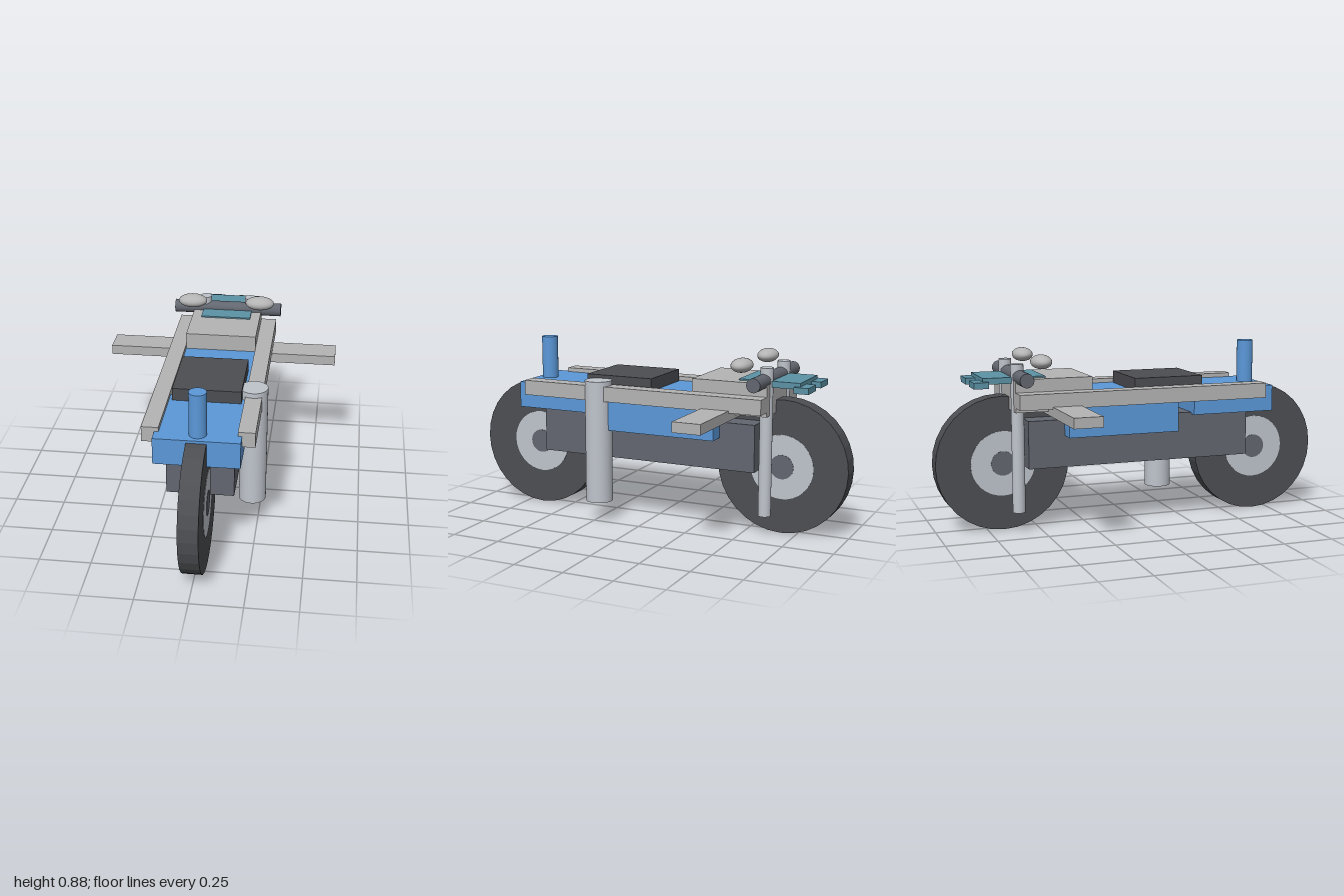
import * as THREE from 'three';

const mat = (color, flatShading = false) => new THREE.MeshStandardMaterial({ color, flatShading });

export function createModel() {
  const model = new THREE.Group();
  model.name = 'motorcycle';

  const grey = mat(0xb4b4b4);
  const metal = mat(0xbfc4cc);
  const blue = mat(0x5b98d8);
  const teal = mat(0x5b92a5);
  const dark = mat(0x4c4d52);
  const engineGrey = mat(0x62666f);
  const rubber = mat(0x4c4e52, true);

  const add = (name, geometry, material, x, y, z) => {
    const mesh = new THREE.Mesh(geometry, material);
    mesh.name = name;
    mesh.position.set(x, y, z);
    model.add(mesh);
    return mesh;
  };

  // Box given by its extents along each axis
  const box = (name, material, [x0, x1], [y0, y1], [z0, z1]) =>
    add(name, new THREE.BoxGeometry(x1 - x0, y1 - y0, z1 - z0), material,
      (x0 + x1) / 2, (y0 + y1) / 2, (z0 + z1) / 2);

  // Upright cylinder between two heights
  const post = (name, material, r, x, z, y0, y1) =>
    add(name, new THREE.CylinderGeometry(r, r, y1 - y0, 32), material, x, (y0 + y1) / 2, z);

  // Cylinder lying across the model
  const crossCylinder = (name, material, r, width, y, z, sides = 32) => {
    add(name, new THREE.CylinderGeometry(r, r, width, sides), material, 0, y, z).rotation.z = Math.PI / 2;
  };

  // Wheels: tyre with slightly proud rim and hub
  for (const [end, z] of [['front', 0.67], ['rear', -0.67]]) {
    crossCylinder(end + 'Tyre', rubber, 0.33, 0.094, 0.33, z);
    crossCylinder(end + 'Rim', metal, 0.16, 0.098, 0.33, z);
    crossCylinder(end + 'Hub', engineGrey, 0.06, 0.102, 0.33, z);
  }

  // Body
  box('engineBlock', engineGrey, [-0.16, 0.16], [0.315, 0.548], [-0.57, 0.575]);
  box('frontBody', blue, [-0.2, 0.2], [0.54, 0.67], [0.27, 0.7]);
  box('middleBody', blue, [-0.24, 0.24], [0.47, 0.67], [-0.39, 0.17]);
  box('tank', grey, [-0.18, 0.18], [0.595, 0.753], [-0.635, -0.255]);
  box('seat', dark, [-0.165, 0.165], [0.665, 0.732], [-0.03, 0.325]);
  box('crossBoard', grey, [-0.59, 0.59], [0.577, 0.627], [-0.475, -0.335]);

  // Upright pieces
  post('frontPost', blue, 0.041, 0, 0.637, 0.66, 0.885);
  post('exhaust', metal, 0.067, 0.218, 0.235, 0.102, 0.715);

  // Handlebar and instrument plate
  crossCylinder('handlebar', engineGrey, 0.034, 0.57, 0.76, -0.605);
  box('plate', teal, [-0.13, 0.13], [0.73, 0.76], [-0.78, -0.475]);

  // Mirrored parts
  for (const [side, s] of [['left', 1], ['right', -1]]) {
    const span = (a, b) => (s > 0 ? [a, b] : [-b, -a]);
    box(side + 'Rail', grey, span(0.18, 0.26), [0.617, 0.691], [-0.635, 0.635]);
    box(side + 'PlateTab', teal, span(0.04, 0.152), [0.713, 0.743], [-0.827, -0.755]);
    post(side + 'ForkTube', metal, 0.031, s * 0.12, -0.612, 0.1, 0.822);
    add(side + 'Mirror', new THREE.SphereGeometry(1, 32, 20), grey, s * 0.178, 0.834, -0.508)
      .scale.set(0.075, 0.034, 0.05);
  }

  return model;
}
